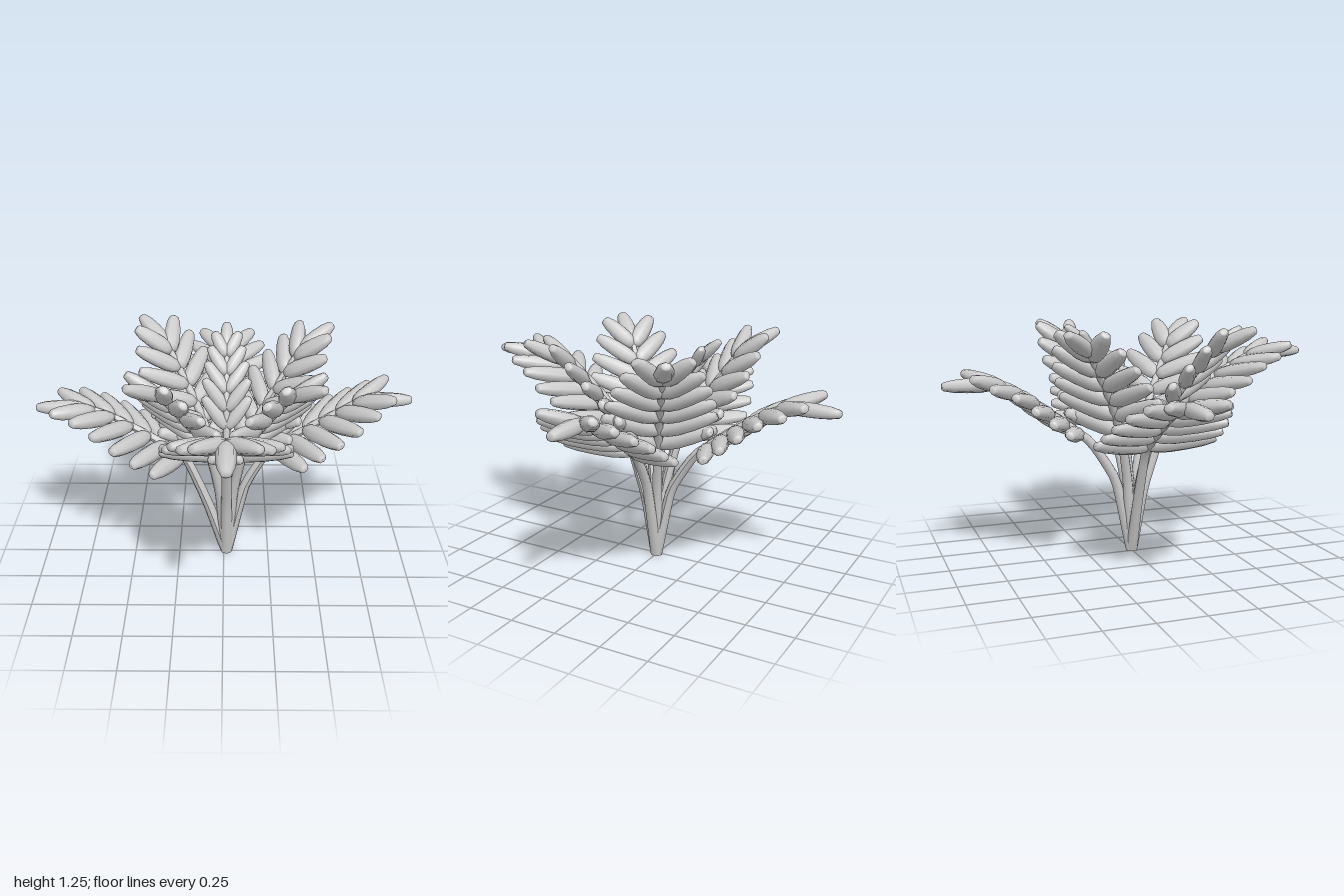
import * as THREE from 'three';

const material = new THREE.MeshStandardMaterial({ color: 0xcccccc, side: THREE.DoubleSide });
const ORIGIN_X = 0.015;

// Unit-length plump leaflet along +y, fullest near the base, blunt at the tip
const leafletGeometry = new THREE.LatheGeometry(
  [[0, 0], [0.024, 0], [0.04, 0.12], [0.048, 0.3], [0.047, 0.55], [0.04, 0.8], [0.027, 0.97], [0.018, 1], [0, 1]]
    .map(([r, y]) => new THREE.Vector2(r, y)), 8);

// Tube whose radius shrinks from the base to the end
function taperedTube(curve, r0, r1) {
  const segments = 20, sides = 8;
  const geometry = new THREE.TubeGeometry(curve, segments, r0, sides);
  const pos = geometry.attributes.position;
  const v = new THREE.Vector3();
  for (let i = 0; i <= segments; i++) {
    const centre = curve.getPointAt(i / segments);
    const k = THREE.MathUtils.lerp(1, r1 / r0, i / segments);
    for (let j = 0; j <= sides; j++) {
      const n = i * (sides + 1) + j;
      v.fromBufferAttribute(pos, n).sub(centre).multiplyScalar(k).add(centre);
      pos.setXYZ(n, v.x, Math.max(0, v.y), v.z);
    }
  }
  geometry.computeVertexNormals();
  return geometry;
}

// One leaflet from a point in a direction, its flat side across the given vector
function leaflet(name, start, direction, across, length, width) {
  const y = direction.clone().normalize();
  const z = new THREE.Vector3().crossVectors(across, y).normalize();
  const x = new THREE.Vector3().crossVectors(y, z);
  const mesh = new THREE.Mesh(leafletGeometry, material);
  mesh.name = name;
  mesh.quaternion.setFromRotationMatrix(new THREE.Matrix4().makeBasis(x, y, z));
  mesh.position.copy(start);
  mesh.scale.set(width, length, width * 0.8);
  return mesh;
}

// Frond: path is [distance out, height], heading points outward on the ground
function frond({ name, heading, path, from, size, angles, droop,
  tipLength, tipRise = 0, pairs = 6, width = 1, radius = 0.033 }) {
  const group = new THREE.Group();
  group.name = name;
  const out = new THREE.Vector3(heading[0], 0, heading[1]).normalize();
  const side = new THREE.Vector3(out.z, 0, -out.x);
  const curve = new THREE.CatmullRomCurve3(path.map(([r, y]) =>
    out.clone().multiplyScalar(r).add(new THREE.Vector3(ORIGIN_X, y, 0))), false, 'catmullrom', 0.2);

  const stem = new THREE.Mesh(taperedTube(curve, radius, radius * 0.5), material);
  stem.name = 'stem';
  group.add(stem);

  // Leaflet pairs shorten and fold forward towards the end
  for (let i = 0; i < pairs; i++) {
    const t = i / (pairs - 1);
    const u = THREE.MathUtils.lerp(from, 0.97, t);
    const start = curve.getPointAt(u);
    const along = curve.getTangentAt(u);
    const angle = THREE.MathUtils.degToRad(THREE.MathUtils.lerp(angles[0], angles[1], t * t));
    const length = size * (1 - 0.3 * t * t);
    for (const s of [1, -1]) {
      const direction = along.clone().multiplyScalar(Math.cos(angle))
        .addScaledVector(side, s * Math.sin(angle));
      direction.y -= droop * Math.sin(angle);
      // leaf blade lies in the plane of the stem and the sideways vector
      const across = direction.clone().cross(side.clone().cross(along));
      group.add(leaflet('leaflet', start, direction, across, length, width));
    }
  }
  const tipDirection = out.clone().setY(tipRise);
  group.add(leaflet('tipLeaflet', curve.getPointAt(1), tipDirection, side, tipLength, width));
  return group;
}

export function createModel() {
  const plant = new THREE.Group();
  plant.name = 'plant';

  // Long arching outer fronds
  const outer = [
    ['leftFrond', [1, 0], 0.58, 0.26, [[0, 0], [0.1, 0.43], [0.22, 0.64], [0.42, 0.78], [0.6, 0.89], [0.7, 0.95]]],
    ['rightFrond', [-1, 0], 0.54, 0.26, [[0, 0], [0.1, 0.31], [0.22, 0.6], [0.4, 0.73], [0.6, 0.85], [0.735, 0.9]]],
    ['frontFrond', [0, 1], 0.58, 0.28, [[0, 0], [0.07, 0.35], [0.18, 0.66], [0.32, 0.83], [0.52, 0.97], [0.72, 1.07]]],
    ['backFrond', [0, -1], 0.6, 0.28, [[0, 0], [0.09, 0.4], [0.23, 0.62], [0.4, 0.75], [0.58, 0.88], [0.72, 0.95]]],
  ];
  for (const [name, heading, from, tipLength, path] of outer)
    plant.add(frond({ name, heading, from, tipLength, path, size: 0.355, angles: [62, 36], droop: 0.17 }));

  // Steeper inner fronds on the diagonals
  const inner = [
    ['frontLeftFrond', [0.44, 0.48]], ['frontRightFrond', [-0.45, 0.47]],
    ['backLeftFrond', [0.58, -0.37]], ['backRightFrond', [-0.46, -0.47]],
  ];
  for (const [name, heading] of inner)
    plant.add(frond({
      name, heading, from: 0.56, tipLength: 0.24, tipRise: 0.5, size: 0.32, angles: [64, 36], droop: 0.08,
      path: [[0, 0], [0.05, 0.4], [0.12, 0.65], [0.23, 0.84], [0.36, 1.0], [0.46, 1.12]],
    }));

  // Small young frond in the middle, leaning back
  plant.add(frond({
    name: 'youngFrond', heading: [0, -1], size: 0.21, width: 0.75, radius: 0.028, pairs: 5,
    from: 0.64, angles: [36, 28], droop: 0, tipLength: 0.16, tipRise: 0.9,
    path: [[0, 0], [0.01, 0.4], [0.04, 0.7], [0.1, 0.92], [0.24, 1.13]],
  }));
  return plant;
}
